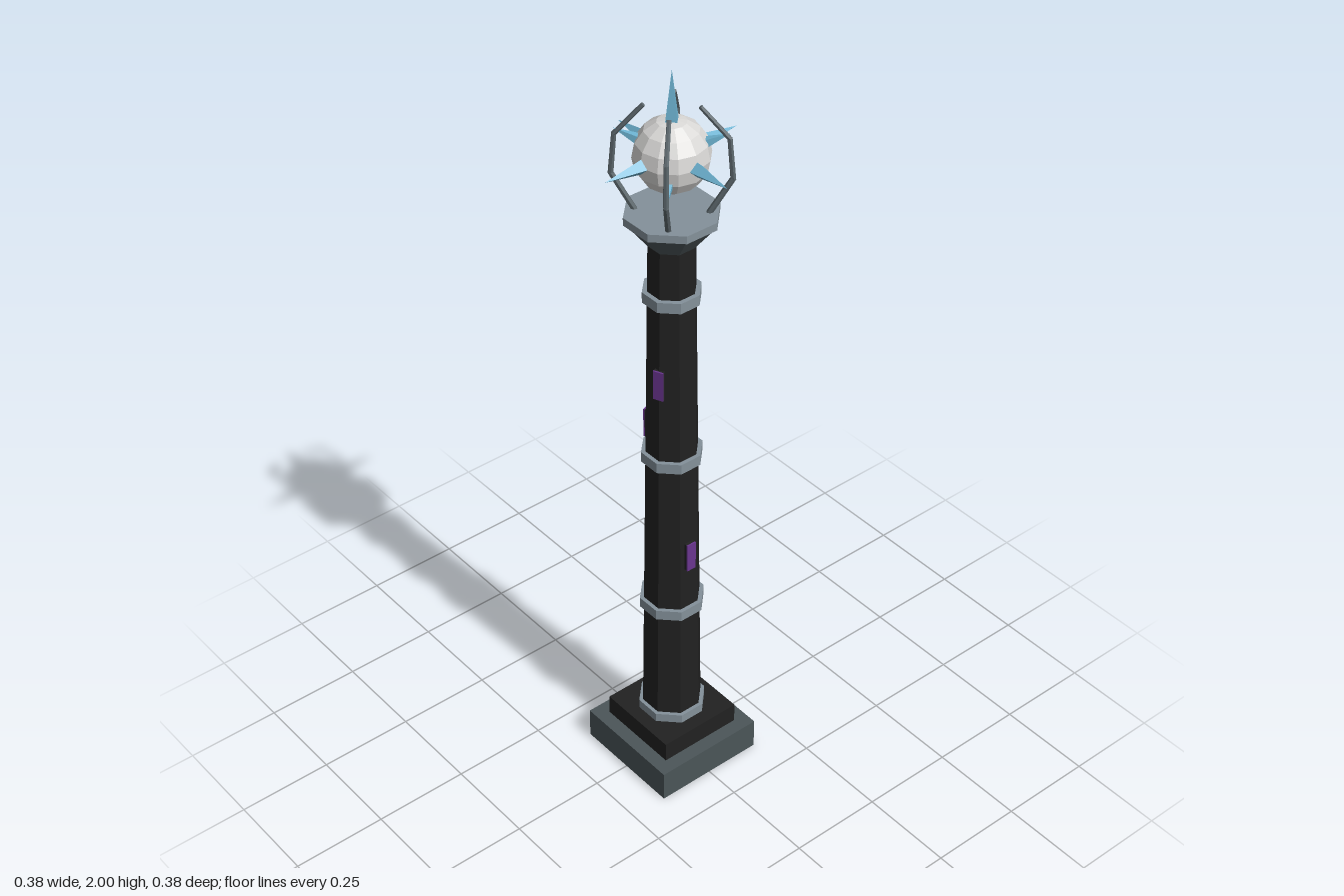
import * as THREE from 'three';

const mat = (name, color, flatShading = true) => {
  const m = new THREE.MeshStandardMaterial({ color, flatShading });
  m.name = name;
  return m;
};

export function createModel() {
  const model = new THREE.Group();
  model.name = 'orbTower';
  const slate = mat('slate', 0x4b5558);
  const black = mat('blackStone', 0x212121);
  const silver = mat('silverMetal', 0x84919a);
  const iron = mat('clawIron', 0x5b666b);
  const pearl = mat('pearl', 0xd9d8d6);
  const crystal = mat('blueCrystal', 0x6cb2d0);
  const violet = mat('violetGlass', 0x6a358f);

  const add = (name, geo, material, x = 0, y = 0, z = 0, parent = model) => {
    const mesh = new THREE.Mesh(geo, material);
    mesh.name = name;
    mesh.position.set(x, y, z);
    parent.add(mesh);
    return mesh;
  };

  // Octagonal prism with a flat side to the front, sized by its half width
  const octagon = (name, top, bottom, y0, y1, material) => {
    const k = 1 / Math.cos(Math.PI / 8);
    const geo = new THREE.CylinderGeometry(top * k, bottom * k, y1 - y0, 8);
    geo.rotateY(Math.PI / 8);
    return add(name, geo, material, 0, (y0 + y1) / 2, 0);
  };

  // Stepped plinth
  add('plinth', new THREE.BoxGeometry(0.304, 0.085, 0.304), slate, 0, 0.0425, 0);
  add('plinthStep', new THREE.BoxGeometry(0.23, 0.055, 0.23), black, 0, 0.1125, 0);

  // Tapered shaft with metal bands
  octagon('shaft', 0.053, 0.072, 0.14, 1.56, black);
  for (const [y, r, h] of [[0.155, 0.081, 0.025], [0.503, 0.077, 0.028], [0.963, 0.071, 0.028], [1.423, 0.066, 0.028]]) {
    octagon('band', r, r, y - h / 2, y + h / 2, silver);
  }

  // Flared capital and rim
  octagon('capital', 0.1, 0.053, 1.56, 1.625, slate);
  octagon('capitalRim', 0.105, 0.105, 1.625, 1.645, silver);

  // Narrow windows winding round the shaft: height, angle from the front
  for (const [y, angle] of [[1.2, 0.39], [1.03, -1.22], [0.855, 3.55], [0.68, Math.PI / 2]]) {
    const win = new THREE.Group();
    win.name = 'window';
    win.rotation.y = angle;
    win.position.y = y;
    const r = 0.086 - 0.0145 * y;
    add('windowFrame', new THREE.BoxGeometry(0.026, 0.08, 0.012), black, 0, 0, r - 0.01, win);
    add('windowGlass', new THREE.BoxGeometry(0.026, 0.08, 0.004), violet, 0, 0, r - 0.002, win);
    model.add(win);
  }

  // Faceted orb
  const orb = new THREE.Group();
  orb.name = 'orb';
  orb.position.y = 1.79;
  model.add(orb);
  add('orbBall', new THREE.SphereGeometry(0.09, 12, 8), pearl, 0, 0, 0, orb);

  // Four-sided crystal spikes pointing out from the orb
  const up = new THREE.Vector3(0, 1, 0);
  const spike = (name, dir, radius, from, to) => {
    const d = new THREE.Vector3(...dir).normalize();
    const geo = new THREE.ConeGeometry(radius, to - from, 4);
    geo.translate(0, (from + to) / 2, 0);
    add(name, geo, crystal, 0, 0, 0, orb).quaternion.setFromUnitVectors(up, d);
  };
  spike('topSpike', [0, 1, 0], 0.02, 0.08, 0.21);
  for (const d of [[1, 0, 0], [-1, 0, 0], [0, 0, 1], [0, 0, -1]]) spike('sideSpike', d, 0.02, 0.08, 0.188);
  for (const d of [[1, 0.65, -1], [-1, 0.65, 1], [1, -0.65, 1], [-1, -0.65, -1]]) {
    spike('smallSpike', d, 0.014, 0.08, 0.142);
  }

  // Four bent claws on the diagonals: distance along x and z, height
  const path = [[0.058, 1.64], [0.096, 1.735], [0.09, 1.835], [0.045, 1.91]];
  for (const [sx, sz] of [[1, 1], [1, -1], [-1, 1], [-1, -1]]) {
    const claw = new THREE.Group();
    claw.name = 'claw';
    model.add(claw);
    const pts = path.map(([d, y]) => new THREE.Vector3(d * sx, y, d * sz));
    for (let i = 0; i < 3; i++) {
      const dir = pts[i + 1].clone().sub(pts[i]);
      const mid = pts[i].clone().add(pts[i + 1]).multiplyScalar(0.5);
      const r = 0.0075 - i * 0.0007;
      const geo = new THREE.CylinderGeometry(r - 0.0007, r, dir.length() + 0.004, 6);
      add('clawSegment', geo, iron, mid.x, mid.y, mid.z, claw)
        .quaternion.setFromUnitVectors(up, dir.normalize());
    }
  }
  return model;
}
